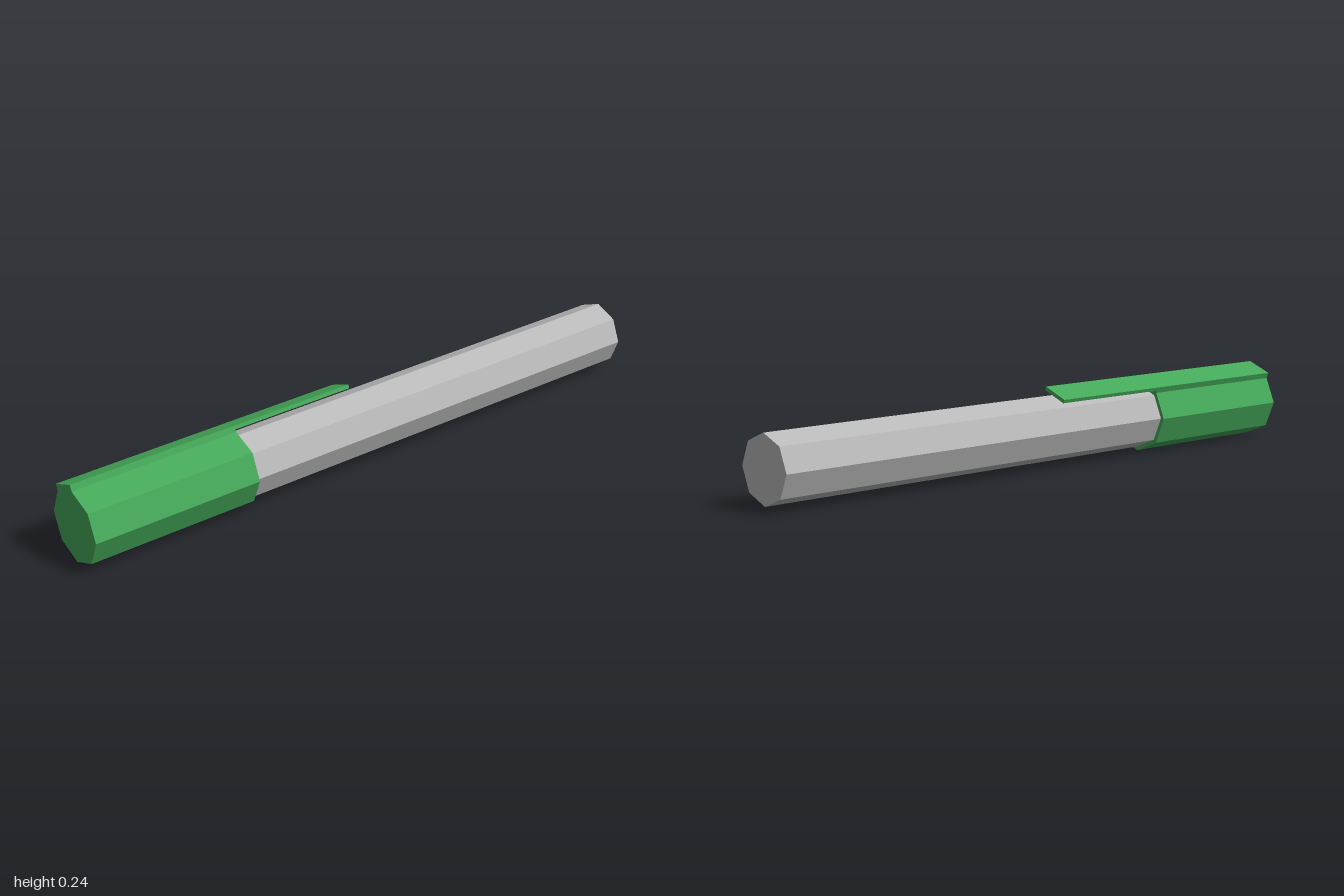
import * as THREE from 'three';

const CENTRE_Y = 0.115;
const CAP_R = 0.113;
const BODY_R = 0.101;
const CAP_END = -0.455;

export function createModel() {
  const group = new THREE.Group();
  group.name = 'markerPen';

  const green = new THREE.MeshStandardMaterial({ color: 0x45a95a, flatShading: true });
  green.name = 'capGreen';
  const grey = new THREE.MeshStandardMaterial({ color: 0xbababa, flatShading: true });
  grey.name = 'barrelGrey';

  // Octagonal bar lying along x, with a corner pointing straight up
  const addBar = (name, radius, x0, x1, material) => {
    const geometry = new THREE.CylinderGeometry(radius, radius, x1 - x0, 8);
    geometry.rotateZ(-Math.PI / 2);
    const mesh = new THREE.Mesh(geometry, material);
    mesh.name = name;
    mesh.position.set((x0 + x1) / 2, CENTRE_Y, 0);
    group.add(mesh);
  };
  addBar('barrel', BODY_R, -0.9, 1, grey);
  addBar('cap', CAP_R, -1, CAP_END, green);

  // Pocket clip: sits on the upper back facet, as wide as that facet
  const clip = new THREE.Group();
  clip.name = 'clip';
  clip.position.y = CENTRE_Y;
  clip.rotation.x = -Math.PI / 8;
  group.add(clip);

  const facetWidth = 2 * CAP_R * Math.sin(Math.PI / 8);
  const facetDistance = CAP_R * Math.cos(Math.PI / 8);
  const addSlab = (name, x0, x1, bottom, top) => {
    const mesh = new THREE.Mesh(new THREE.BoxGeometry(x1 - x0, top - bottom, facetWidth), green);
    mesh.name = name;
    mesh.position.set((x0 + x1) / 2, facetDistance + (bottom + top) / 2, 0);
    clip.add(mesh);
  };
  addSlab('clipRoot', -1, CAP_END, -0.004, 0.008);
  addSlab('clipBlade', -1, -0.04, 0.008, 0.0195);

  return group;
}
